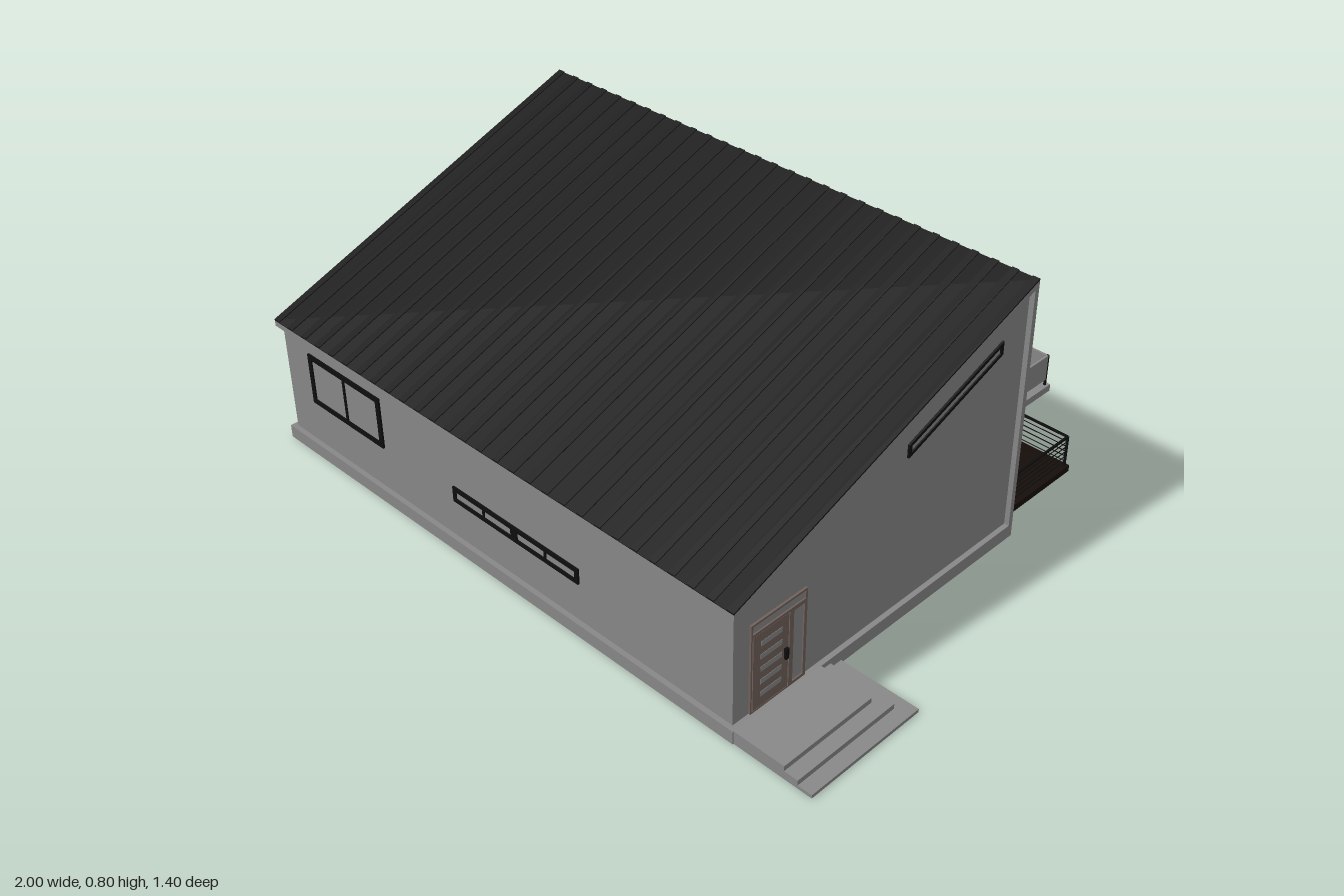
import * as THREE from 'three';

const mat = (color) => new THREE.MeshStandardMaterial({ color });

export function createModel() {
  const root = new THREE.Group();
  root.name = 'house';
  const grey = mat(0x888888), black = mat(0x0e0e0e), roofDark = mat(0x171717);
  const brown = mat(0x72625c), deckBrown = mat(0x160d09);

  const group = (name, parent = root) => {
    const g = new THREE.Group();
    g.name = name;
    parent.add(g);
    return g;
  };
  const add = (parent, name, geo, m) => {
    const mesh = new THREE.Mesh(geo, m);
    mesh.name = name;
    parent.add(mesh);
    return mesh;
  };
  // Box from its minimum and maximum on each axis
  const box = (parent, name, m, x0, x1, y0, y1, z0, z1) => {
    const geo = new THREE.BoxGeometry(x1 - x0, y1 - y0, z1 - z0);
    geo.translate((x0 + x1) / 2, (y0 + y1) / 2, (z0 + z1) / 2);
    return add(parent, name, geo, m);
  };
  // Side profile of [z, y] points, extruded from x0 to x1
  const prism = (parent, name, m, profile, x0, x1) => {
    const shape = new THREE.Shape(profile.map(([z, y]) => new THREE.Vector2(-z, y)));
    const geo = new THREE.ExtrudeGeometry(shape, { depth: x1 - x0, bevelEnabled: false });
    geo.rotateY(Math.PI / 2).translate(x0, 0, 0);
    return add(parent, name, geo, m);
  };

  // Main sizes
  const X0 = -1, X1 = 0.757, ZF = 0.7, ZB = -0.38, trim = 0.015;
  const backWall = -0.3, slope = 0.4 / 1.08;
  const roofY = (z) => 0.4 + (ZF - z) * slope;
  const slab = (z0, z1, top, bottom) => [
    [z0, roofY(z0) - bottom], [z1, roofY(z1) - bottom], [z1, roofY(z1) - top], [z0, roofY(z0) - top]];

  // Shell: plinth, walls, side fins and their end trims
  box(root, 'plinth', grey, X0, X1, 0, 0.04, ZB, ZF);
  const under = (z0, z1) => [[z0, 0.04], [z1, 0.04], [z1, roofY(z1) - 0.02], [z0, roofY(z0) - 0.02]];
  prism(root, 'walls', grey, under(ZF - trim, backWall), X0 + trim, X1 - trim);
  for (const [side, a, b, c, d] of [
    ['right', X0 + trim, X0 + 0.04, X0, X0 + 0.04],
    ['left', X1 - 0.04, X1 - trim, X1 - 0.04, X1]]) {
    prism(root, side + 'Fin', grey, under(backWall, ZB + trim), a, b);
    prism(root, side + 'FinTrim', grey, under(ZB + trim, ZB), c, d);
  }

  // Roof slab with dark sheet and broad raised ribs
  const roof = group('roof');
  prism(roof, 'roofSlab', grey, slab(ZF, ZB, 0.005, 0.022), X0, X1);
  prism(roof, 'roofSheet', roofDark, slab(ZF, ZB, 0.003, 0.005), X0, X1);
  const ribs = 29, ribWidth = 0.022;
  for (let i = 0; i < ribs; i++) {
    const x = X0 + (X1 - X0 - ribWidth) * i / (ribs - 1);
    prism(roof, 'roofRib', roofDark, slab(ZF, ZB, 0, 0.003), x, x + ribWidth);
  }

  // Each facade group has u to the right, v up and the wall surface at w = 0
  const facade = (name, angle, x, z) => {
    const g = group(name);
    g.rotation.y = angle;
    g.position.set(x, 0, z);
    return g;
  };
  const front = facade('frontFacade', 0, 0, ZF - trim);
  const back = facade('backFacade', Math.PI, 0, backWall);
  const left = facade('leftFacade', Math.PI / 2, X1 - trim, 0);
  const right = facade('rightFacade', -Math.PI / 2, X0 + trim, 0);

  // Framed window; rows are [v0, v1, mullion positions], skew tilts it along u
  const windowFrame = (parent, name, u0, u1, rows, { t = 0.01, skew = 0, m = black } = {}) => {
    const rect = (a, b, c, d) => [[a, c], [b, c], [b, d], [a, d]]
      .map(([u, v]) => new THREE.Vector2(u, v + skew * (u - u0)));
    const v0 = rows[0][0], v1 = rows[rows.length - 1][1];
    const shape = new THREE.Shape(rect(u0, u1, v0, v1));
    rows.forEach(([a, b, splits = []], r) => {
      const edges = [u0, ...splits, u1];
      const lo = a + (r === 0 ? t : t / 2), hi = b - (r === rows.length - 1 ? t : t / 2);
      for (let i = 0; i < edges.length - 1; i++) {
        const l = edges[i] + (i === 0 ? t : t / 4);
        const h = edges[i + 1] - (i === edges.length - 2 ? t : t / 4);
        shape.holes.push(new THREE.Path(rect(l, h, lo, hi)));
      }
    });
    const g = group(name, parent);
    add(g, 'frame', new THREE.ExtrudeGeometry(shape, { depth: 0.006, bevelEnabled: false }), m);
    const pane = new THREE.Shape(rect(u0, u1, v0, v1));
    add(g, 'glass', new THREE.ShapeGeometry(pane), grey).position.z = 0.002;
  };

  windowFrame(front, 'frontWindow', -0.873, -0.555, [[0.177, 0.338, [-0.714]]], { t: 0.015 });
  windowFrame(front, 'frontStripWindowA', -0.259, -0.018, [[0.16, 0.207, [-0.137]]], { t: 0.012 });
  windowFrame(front, 'frontStripWindowB', -0.018, 0.222, [[0.16, 0.207, [0.1]]], { t: 0.012 });

  windowFrame(left, 'slopedWindow', -0.087, 0.267, [[0.496, 0.535]], { skew: slope });

  windowFrame(right, 'tallWindow', 0.17, 0.24, [[0.21, 0.535]], { t: 0.012 });
  windowFrame(right, 'sideWindow', 0.376, 0.62, [[0.24, 0.322]], { t: 0.015 });
  windowFrame(right, 'sideStripWindow', -0.275, -0.11, [[0.23, 0.283]], { t: 0.012 });
  windowFrame(right, 'smallWindow', 0.05, 0.13, [[0.076, 0.148]], { t: 0.012 });

  windowFrame(back, 'upperStripWindow', -0.65, -0.333, [[0.62, 0.662]]);
  windowFrame(back, 'upperWindow', -0.255, 0.585, [[0.362, 0.57], [0.57, 0.657, [-0.045, 0.165, 0.375]]], { t: 0.014 });
  windowFrame(back, 'balconyDoor', 0.585, 0.765, [[0.362, 0.57], [0.57, 0.657]], { t: 0.014 });
  windowFrame(back, 'lowerStripWindow', -0.655, -0.338, [[0.14, 0.185]]);
  windowFrame(back, 'lowerWindow', -0.222, 0.177, [[0.078, 0.29]], { t: 0.012 });
  windowFrame(back, 'deckDoor', 0.223, 0.366, [[0.045, 0.115], [0.115, 0.29]], { t: 0.012 });

  // Entrance: frame with transom and sidelight, leaf with glass slots, handle
  const door = group('entrance', left);
  windowFrame(door, 'transom', -0.632, -0.44, [[0.277, 0.313]], { t: 0.006, m: brown });
  windowFrame(door, 'sidelight', -0.495, -0.44, [[0.04, 0.28]], { t: 0.009, m: brown });
  windowFrame(door, 'doorFrame', -0.632, -0.495, [[0.04, 0.28]], { t: 0.005, m: brown });
  box(door, 'doorLeaf', brown, -0.623, -0.502, 0.045, 0.273, 0, 0.005);
  for (let i = 0; i < 5; i++) {
    const v = 0.075 + i * 0.039;
    box(door, 'doorSlot', grey, -0.598, -0.525, v, v + 0.015, 0, 0.006);
  }
  box(door, 'handle', black, -0.517, -0.506, 0.14, 0.172, 0, 0.012);

  // Entrance steps
  const steps = group('steps');
  [[0.915, 0.39, 0.025, 0.04], [0.957, 0.355, 0.01, 0.025], [1, 0.315, 0, 0.01]].forEach(
    ([x, z, y0, y1]) => box(steps, 'step', grey, X1 - trim, x, y0, y1, z, 0.697));

  // Balcony with panel railing
  const balcony = group('balcony');
  const bx0 = -0.94, bx1 = 0.697, bz = -0.582;
  box(balcony, 'balconyFloor', grey, bx0, bx1, 0.342, 0.362, bz, backWall);
  box(balcony, 'balconyUnderside', grey, bx0 + 0.015, bx1 - 0.015, 0.325, 0.342, bz + 0.015, backWall);
  const panels = 7, pw = (bx1 - bx0 - 0.02) / panels;
  for (let i = 0; i <= panels; i++) {
    const x = bx0 + 0.01 + i * pw;
    box(balcony, 'railPost', black, x - 0.003, x + 0.003, 0.362, 0.456, bz + 0.009, bz + 0.014);
    if (i < panels) {
      box(balcony, 'railPanel', grey, x + 0.003, x + pw - 0.003, 0.38, 0.456, bz + 0.01, bz + 0.016);
    }
  }
  for (const x of [bx0 + 0.01, bx1 - 0.01]) {
    box(balcony, 'sideRailPanel', grey, x - 0.003, x + 0.003, 0.38, 0.456, bz + 0.014, backWall);
  }

  // Timber deck reaching the recessed wall, with cable railing
  const deck = group('deck');
  const dx0 = -0.96, dx1 = 0.717, dz = -0.7, near = -0.41;
  box(deck, 'deckBoards', deckBrown, dx0, dx1, 0.022, 0.042, dz, backWall);
  box(deck, 'deckBase', deckBrown, dx0 + 0.02, dx1 - 0.02, 0, 0.022, dz + 0.04, ZB);
  const rx0 = dx0 + 0.01, rx1 = dx1 - 0.01, rz = dz + 0.01;
  const post = (x, z) => box(deck, 'deckPost', black, x - 0.003, x + 0.003, 0.04, 0.14, z - 0.003, z + 0.003);
  for (let i = 0; i <= 6; i++) post(rx0 + (rx1 - rx0) * i / 6, rz);
  post(rx0, near);
  post(rx1, near);
  for (let i = 0; i < 6; i++) {
    const y = 0.057 + i * 0.0165, r = i === 5 ? 0.003 : 0.001;
    const name = i === 5 ? 'deckHandrail' : 'deckCable';
    box(deck, name, black, rx0, rx1, y - r, y + r, rz - r, rz + r);
    for (const x of [rx0, rx1]) box(deck, name, black, x - r, x + r, y - r, y + r, rz, ZB);
  }
  return root;
}
